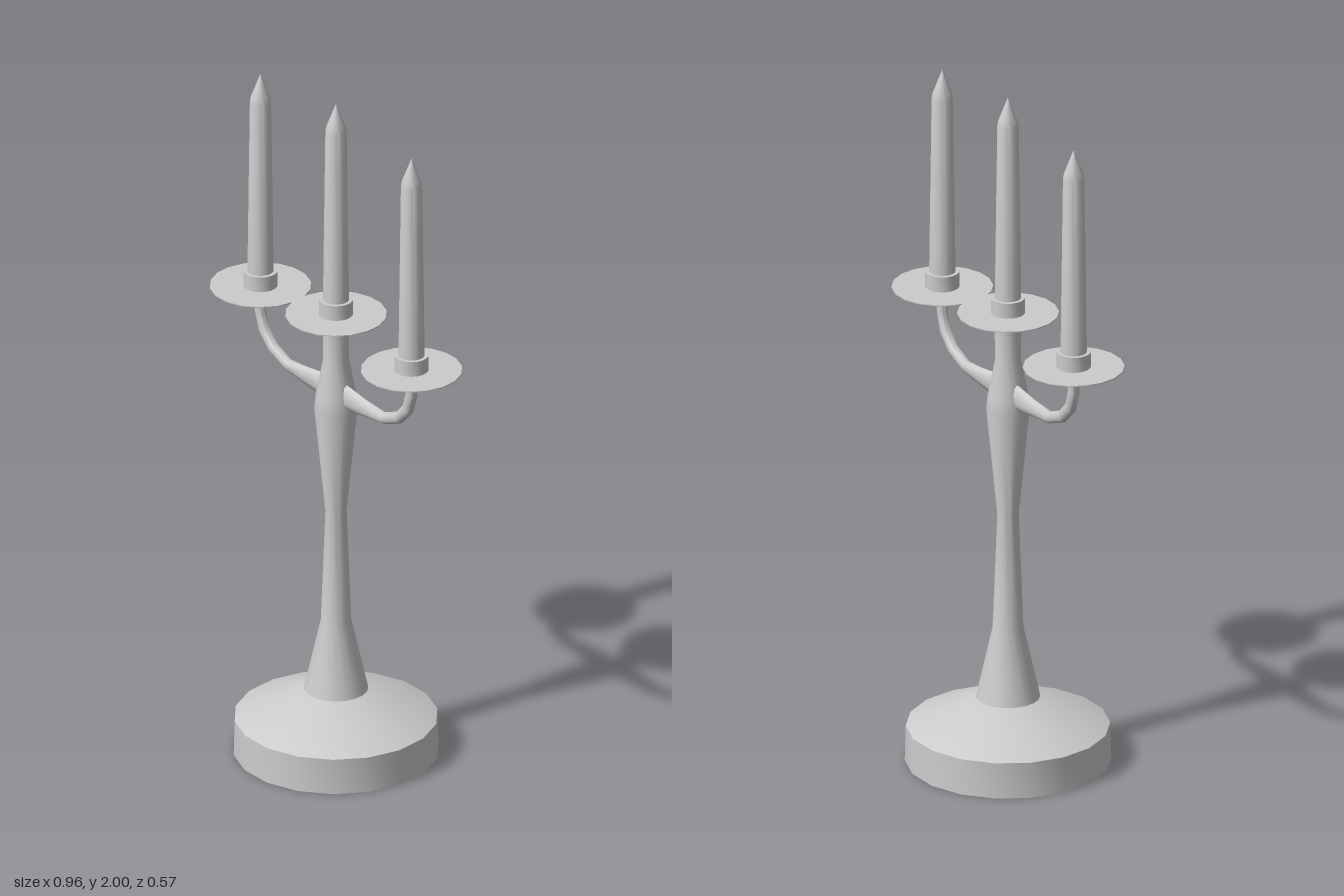
import * as THREE from 'three';
import { toCreasedNormals } from 'three/addons/utils/BufferGeometryUtils.js';

const SIDES = 18;
const material = new THREE.MeshStandardMaterial({ color: 0xcccccc });

// Turned part from [radius, height] pairs, listed bottom to top
function turned(name, profile) {
  const points = profile.map(([r, y]) => new THREE.Vector2(r, y));
  const lathe = new THREE.LatheGeometry(points, SIDES, Math.PI / 2);
  const mesh = new THREE.Mesh(toCreasedNormals(lathe, 0.55), material);
  mesh.name = name;
  return mesh;
}

// Drip tray, cup and candle; trayY is the flat top of the tray
function candleHolder(name, x, trayY, trayDepth, neckRadius, tipY) {
  const group = new THREE.Group();
  group.name = name;
  group.add(
    turned('dripTray', [
      [0, trayY - trayDepth], [neckRadius, trayY - trayDepth],
      [0.142, trayY - 0.003], [0.142, trayY], [0, trayY],
    ]),
    turned('cup', [[0.048, trayY], [0.048, trayY + 0.045], [0, trayY + 0.045]]),
    turned('candle', [
      [0.037, trayY + 0.03], [0.03, tipY - 0.085], [0.027, tipY - 0.07], [0, tipY],
    ]),
  );
  group.position.x = x;
  return group;
}

// Curved arm: an oval section swept along a path in the xy plane
function armGeometry() {
  // x, y, half height of the section
  const stations = [
    [0.02, 1.107, 0.041], [0.063, 1.107, 0.037], [0.14, 1.107, 0.026],
    [0.217, 1.109, 0.017], [0.283, 1.136, 0.018], [0.324, 1.178, 0.019],
    [0.34, 1.23, 0.019], [0.34, 1.285, 0.019],
  ];
  const sides = 10, halfWidth = 0.015;
  const positions = [], index = [];
  stations.forEach(([x, y, h], i) => {
    const a = stations[Math.max(i - 1, 0)];
    const b = stations[Math.min(i + 1, stations.length - 1)];
    const length = Math.hypot(b[0] - a[0], b[1] - a[1]);
    const nx = -(b[1] - a[1]) / length, ny = (b[0] - a[0]) / length;
    for (let j = 0; j < sides; j++) {
      const t = (j / sides) * Math.PI * 2;
      const u = Math.cos(t) * h;
      positions.push(x + nx * u, y + ny * u, Math.sin(t) * halfWidth);
      if (i > 0) {
        const k = (j + 1) % sides, p = (i - 1) * sides, q = i * sides;
        index.push(p + j, p + k, q + j, p + k, q + k, q + j);
      }
    }
  });
  const geometry = new THREE.BufferGeometry();
  geometry.setAttribute('position', new THREE.Float32BufferAttribute(positions, 3));
  geometry.setIndex(index);
  return toCreasedNormals(geometry, 0.9);
}

export function createModel() {
  const model = new THREE.Group();
  model.name = 'candelabra';

  // Foot and stem
  model.add(
    turned('base', [[0, 0], [0.288, 0], [0.285, 0.105], [0.09, 0.19], [0, 0.19]]),
    turned('stem', [
      [0.09, 0.19], [0.043, 0.4], [0.03, 0.74], [0.061, 1.06],
      [0.057, 1.1], [0.036, 1.21], [0.038, 1.335],
    ]),
  );

  // Centre candle
  model.add(candleHolder('centreHolder', 0, 1.35, 0.022, 0.038, 2));

  // Side arms with their candles
  const arm = armGeometry();
  for (const [side, sign] of [['left', 1], ['right', -1]]) {
    const mesh = new THREE.Mesh(arm, material);
    mesh.name = side + 'Arm';
    mesh.rotation.y = sign > 0 ? 0 : Math.PI;
    model.add(mesh, candleHolder(side + 'Holder', sign * 0.34, 1.308, 0.036, 0.024, 1.962));
  }
  return model;
}
